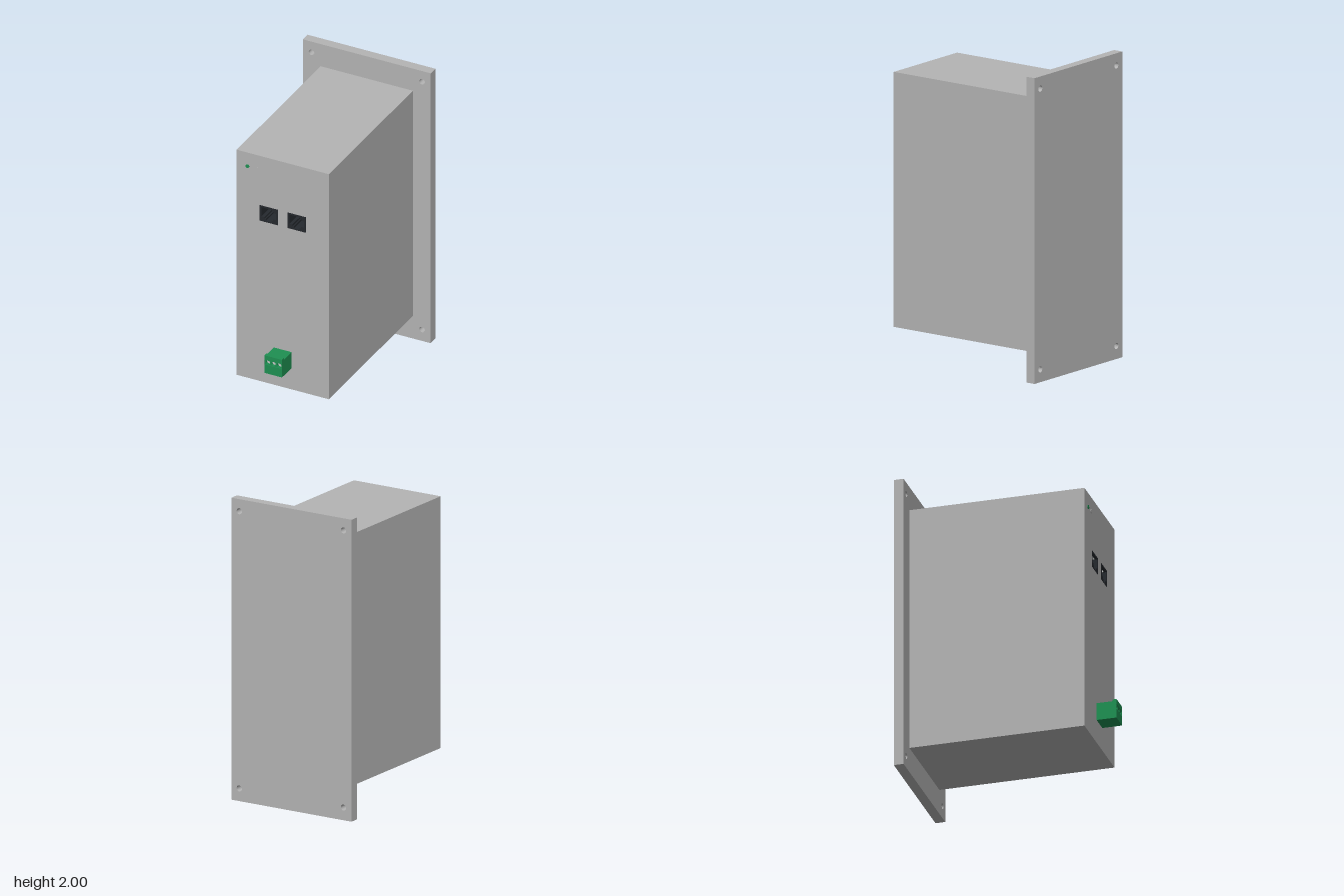
import * as THREE from 'three';

const material = (name, color) => {
  const m = new THREE.MeshStandardMaterial({ color });
  m.name = name;
  return m;
};

// Closed rectangle outline from two opposite corners
const rectPoints = (x0, y0, x1, y1) => [
  new THREE.Vector2(x0, y0), new THREE.Vector2(x1, y0),
  new THREE.Vector2(x1, y1), new THREE.Vector2(x0, y1),
];
const rectPath = (...c) => new THREE.Path(rectPoints(...c));
const circlePath = (x, y, r) => new THREE.Path().absarc(x, y, r, 0, Math.PI * 2, true);

export function createModel() {
  const grey = material('caseGrey', 0xb4b4b4);
  const green = material('connectorGreen', 0x1e9052);
  const dark = material('jackDark', 0x25292e);
  const metal = material('contactMetal', 0xc4c6c4);

  const model = new THREE.Group();
  model.name = 'controlUnit';

  const add = (parent, name, geometry, mat) => {
    const mesh = new THREE.Mesh(geometry, mat);
    mesh.name = name;
    parent.add(mesh);
    return mesh;
  };
  const box = (parent, name, mat, x0, x1, y0, y1, z0, z1) => {
    const mesh = add(parent, name, new THREE.BoxGeometry(x1 - x0, y1 - y0, z1 - z0), mat);
    mesh.position.set((x0 + x1) / 2, (y0 + y1) / 2, (z0 + z1) / 2);
    return mesh;
  };
  // Outline with holes, extruded from z0 to z1
  const slab = (parent, name, mat, outline, holes, z0, z1) => {
    const shape = new THREE.Shape(outline);
    shape.holes.push(...holes);
    const geometry = new THREE.ExtrudeGeometry(shape, { depth: z1 - z0, bevelEnabled: false, curveSegments: 16 });
    const mesh = add(parent, name, geometry, mat);
    mesh.position.z = z0;
    return mesh;
  };
  const disc = (parent, name, mat, x, y, r, z0, z1) => {
    const mesh = add(parent, name, new THREE.CylinderGeometry(r, r, z1 - z0, 24), mat);
    mesh.rotation.x = Math.PI / 2;
    mesh.position.set(x, y, (z0 + z1) / 2);
    return mesh;
  };

  // Mounting plate with four screw holes
  const screwHoles = [];
  for (const x of [-0.396, 0.396]) {
    for (const y of [0.084, 1.92]) screwHoles.push(circlePath(x, y, 0.02));
  }
  slab(model, 'mountingPlate', grey, rectPoints(-0.457, 0, 0.457, 2), screwHoles, -0.68, -0.615);

  // Case: solid rear and a front section with two jack openings
  const front = 0.548, jackBack = 0.44;
  const jackX = [-0.1, 0.1];
  box(model, 'caseRear', grey, -0.33, 0.33, 0.168, 1.836, -0.615, jackBack);
  slab(model, 'caseFront', grey, rectPoints(-0.33, 0.168, 0.33, 1.836),
    jackX.map((x) => rectPath(x - 0.065, 1.357, x + 0.065, 1.472)), jackBack, front);

  // Network jacks with a keyed opening and eight contacts
  for (const x of jackX) {
    const jack = new THREE.Group();
    jack.name = 'networkJack';
    jack.position.x = x;
    model.add(jack);
    const keyed = [
      [-0.052, 1.46], [-0.052, 1.392], [-0.03, 1.392], [-0.03, 1.38], [-0.02, 1.38], [-0.02, 1.367],
      [0.02, 1.367], [0.02, 1.38], [0.03, 1.38], [0.03, 1.392], [0.052, 1.392], [0.052, 1.46],
    ].map(([px, py]) => new THREE.Vector2(px, py));
    slab(jack, 'jackHousing', dark, rectPoints(-0.065, 1.357, 0.065, 1.472),
      [new THREE.Path(keyed)], jackBack, front + 0.001);
    box(jack, 'jackFloor', dark, -0.06, 0.06, 1.36, 1.47, jackBack, jackBack + 0.005);
    for (let i = 0; i < 8; i++) {
      const cx = (i - 3.5) * 0.0105;
      box(jack, 'jackContact', metal, cx - 0.002, cx + 0.002, 1.455, 1.459, jackBack, front - 0.015);
    }
  }

  // Indicator lights
  disc(model, 'greenIndicator', green, -0.252, 1.736, 0.013, front - 0.005, front + 0.005);
  disc(model, 'greyIndicator', grey, -0.185, 1.736, 0.013, front - 0.005, front + 0.004);

  // Plug-in terminal block: body, raised front lip and recessed screw row
  const terminal = new THREE.Group();
  terminal.name = 'terminalBlock';
  model.add(terminal);
  const outline = rectPoints(-0.063, 0.326, 0.063, 0.456);
  const screwX = [-0.04, 0, 0.04];
  box(terminal, 'terminalBody', green, -0.063, 0.063, 0.326, 0.444, front, 0.652);
  slab(terminal, 'terminalFace', green, outline,
    screwX.map((x) => circlePath(x, 0.406, 0.0155)), 0.652, 0.675);
  slab(terminal, 'terminalRim', green, outline,
    [rectPath(-0.061, 0.389, 0.061, 0.423)], 0.675, 0.68);
  for (const x of screwX) disc(terminal, 'terminalScrew', metal, x, 0.406, 0.0155, 0.65, 0.658);

  return model;
}
